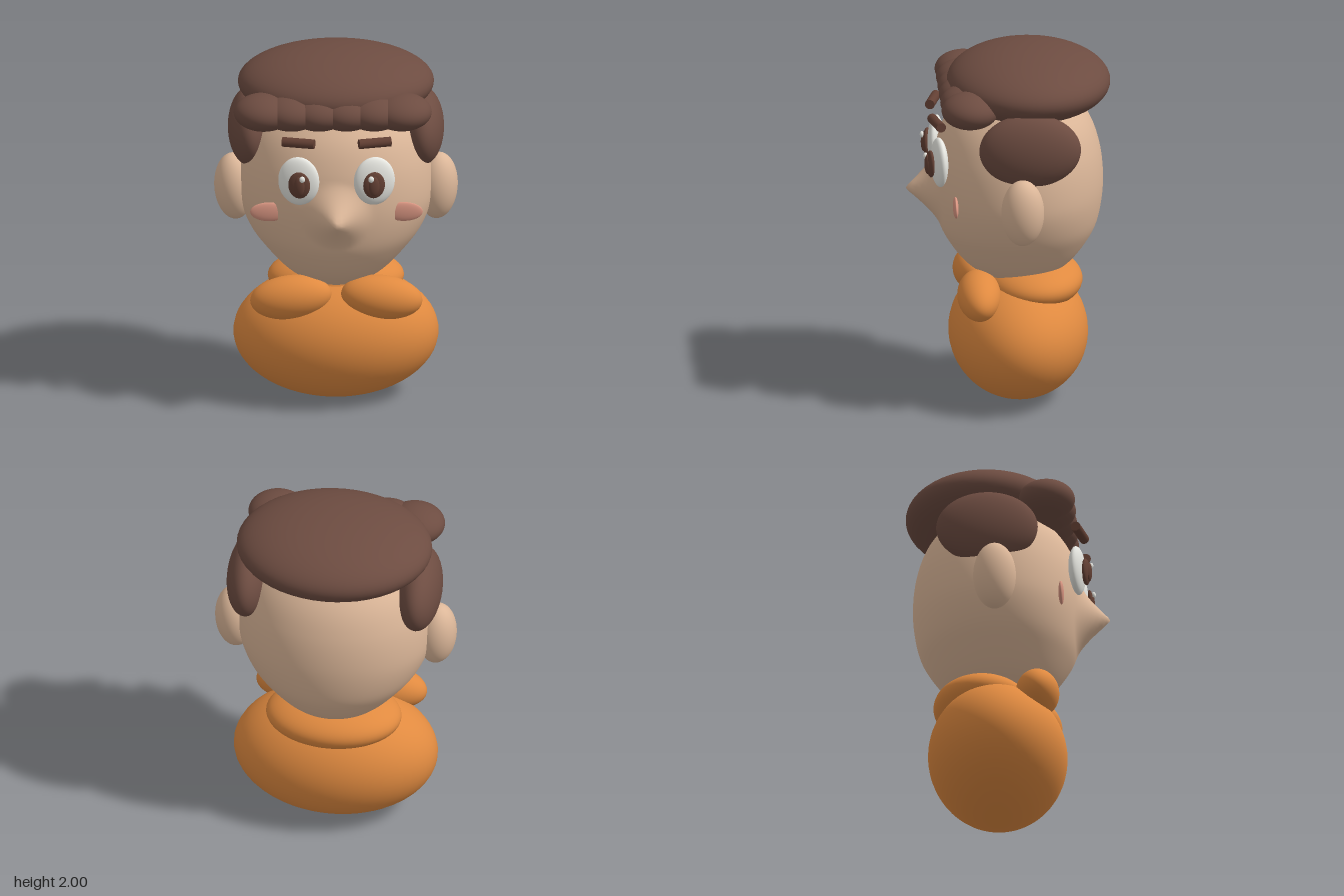
import * as THREE from 'three';
import { mergeVertices } from 'three/addons/utils/BufferGeometryUtils.js';

const flat = (name, color) => {
  const m = new THREE.MeshStandardMaterial({ color });
  m.name = name;
  return m;
};

// Egg-shaped head with a pointed nose pulled smoothly out of the front
function headGeometry() {
  const profile = new THREE.SplineCurve([
    [0.001, 0.655], [0.14, 0.68], [0.285, 0.775], [0.39, 0.91], [0.445, 1.04], [0.47, 1.24],
    [0.448, 1.45], [0.375, 1.63], [0.22, 1.79], [0.001, 1.85],
  ].map(([r, y]) => new THREE.Vector2(r, y)));
  let geo = new THREE.LatheGeometry(profile.getPoints(96), 128, Math.PI);
  const p = geo.attributes.position;
  for (let i = 0; i < p.count; i++) {
    const x = p.getX(i), y = p.getY(i), z = p.getZ(i);
    const widen = THREE.MathUtils.lerp(1, 1.14, THREE.MathUtils.smoothstep(y, 0.75, 1.2));
    const nx = x * widen;
    const d = Math.hypot(nx, y - 1.195, 0.012) - 0.012;
    const nose = z > 0 ? 0.148 * Math.pow(Math.max(0, 1 - d / 0.19), 1.6) : 0;
    p.setXYZ(i, nx, y, z - 0.055 + nose);
  }
  geo.deleteAttribute('uv');
  geo.deleteAttribute('normal');
  geo = mergeVertices(geo, 1e-5);
  geo.computeVertexNormals();
  return geo;
}

export function createModel() {
  const group = new THREE.Group();
  const skin = flat('skin', 0xdcb799);
  const hair = flat('hair brown', 0x6d4c41);
  const dark = flat('eye brown', 0x623f33);
  const orange = flat('orange cloth', 0xe08a40);
  const white = flat('eye white', 0xe8e8e2);
  const blush = flat('blush', 0xdb9783);

  const add = (name, geo, mat, pos, rot = [0, 0, 0]) => {
    const m = new THREE.Mesh(geo, mat);
    m.name = name;
    m.position.set(...pos);
    m.rotation.set(...rot);
    group.add(m);
    return m;
  };
  const ball = new THREE.SphereGeometry(1, 48, 32);
  const blob = (name, mat, pos, radii, rot) => add(name, ball, mat, pos, rot).scale.set(...radii);

  // Body and collar
  blob('body', orange, [0, 0.37, -0.058], [0.565, 0.367, 0.384]);
  blob('backCollar', orange, [0, 0.665, -0.14], [0.375, 0.14, 0.272]);

  // Head and hair
  add('head', headGeometry(), skin, [0, 0, 0]);
  blob('hairCap', hair, [0, 1.81, -0.115], [0.54, 0.19, 0.45]);
  for (let i = 0; i < 6; i++) {
    blob('fringeLock', hair, [-0.4 + 0.152 * i, 1.75, 0.225], [0.165, 0.1, 0.157]);
  }

  // Mirrored parts
  for (const s of [1, -1]) {
    const side = s > 0 ? 'left' : 'right';
    blob(side + 'CollarLobe', orange, [s * 0.25, 0.645, 0.17], [0.225, 0.122, 0.12], [0, 0, -s * 0.12]);
    blob(side + 'SideHair', hair, [s * 0.475, 1.55, -0.1], [0.12, 0.208, 0.28]);
    blob(side + 'Ear', skin, [s * 0.56, 1.218, -0.055], [0.11, 0.19, 0.118], [0, 0, -s * 0.06]);
    blob(side + 'Cheek', blush, [s * 0.37, 1.195, 0.305], [0.105, 0.055, 0.015]);

    // Eye layers, turned slightly outward with the face
    const turn = [0, s * 0.2, 0];
    blob(side + 'EyeWhite', white, [s * 0.208, 1.405, 0.387], [0.115, 0.139, 0.042], turn);
    blob(side + 'Iris', dark, [s * 0.206, 1.397, 0.435], [0.061, 0.076, 0.022], turn);
    blob(side + 'Pupil', dark, [s * 0.206, 1.395, 0.452], [0.03, 0.056, 0.016], turn);
    blob(side + 'EyeGlint', white, [s * 0.19, 1.44, 0.463], [0.016, 0.018, 0.012]);

    // Eyebrow rod
    const brow = new THREE.CylinderGeometry(0.027, 0.027, 0.18, 24).rotateZ(Math.PI / 2);
    add(side + 'Eyebrow', brow, dark, [s * 0.21, 1.633, 0.402], [0, s * 0.24, 0]);
  }
  return group;
}
